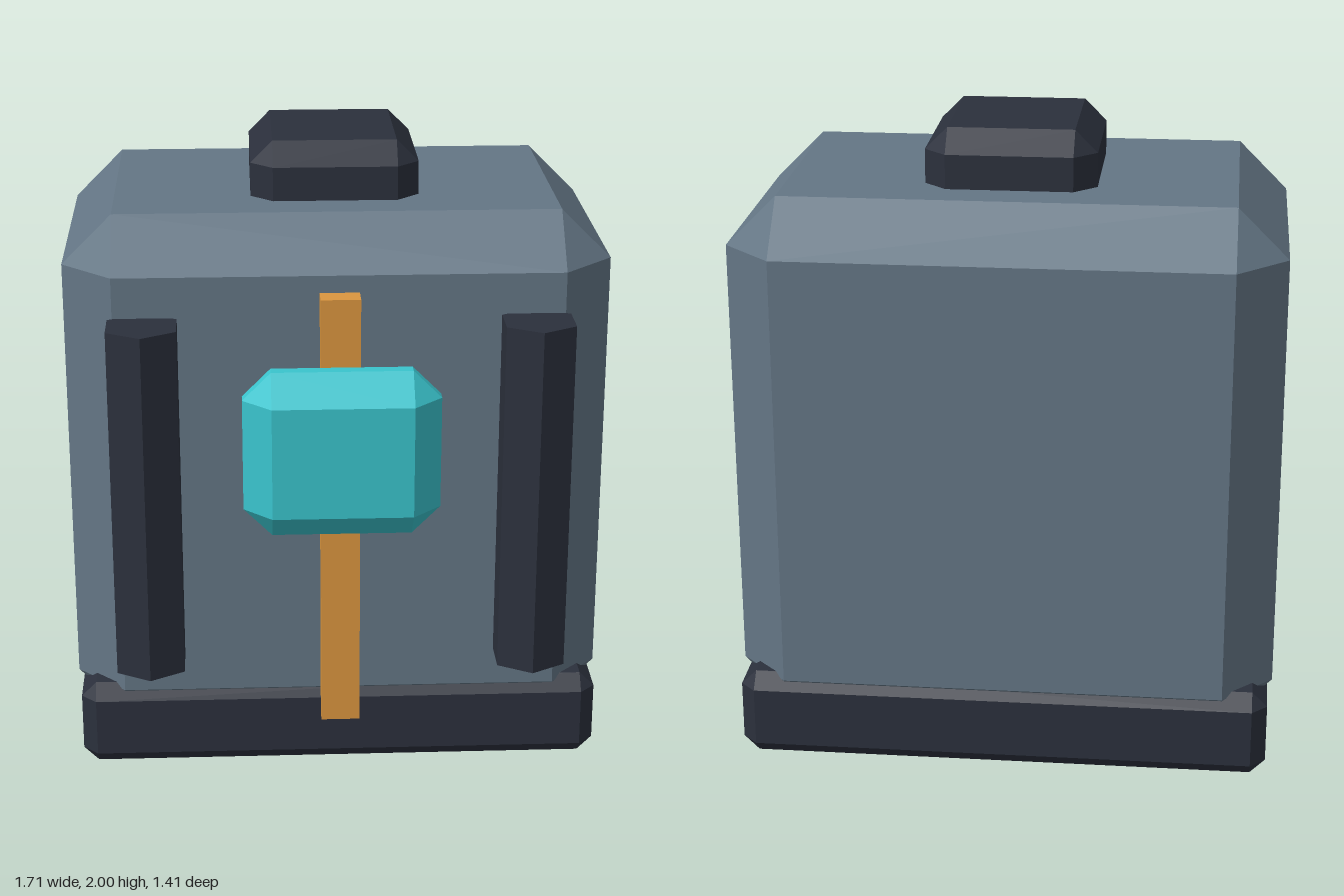
import * as THREE from 'three';
import { ConvexGeometry } from 'three/addons/geometries/ConvexGeometry.js';

const material = (color) => new THREE.MeshStandardMaterial({ color, flatShading: true });

// Box from min to max with every edge cut at 45 degrees by c
function chamferBox(min, max, c) {
  const points = [];
  const mid = min.map((v, i) => (v + max[i]) / 2);
  const half = min.map((v, i) => (max[i] - v) / 2);
  for (const sx of [-1, 1]) for (const sy of [-1, 1]) for (const sz of [-1, 1]) {
    const sign = [sx, sy, sz];
    // three points per corner, each lying on one of the main faces
    for (let face = 0; face < 3; face++) {
      const p = sign.map((s, i) => mid[i] + s * (half[i] - (i === face ? 0 : c)));
      points.push(new THREE.Vector3(...p));
    }
  }
  return new ConvexGeometry(points);
}

export function createModel() {
  const group = new THREE.Group();
  const slate = material(0x647685);
  const dark = material(0x2b303c);
  const teal = material(0x3ac4cd);
  const orange = material(0xdb963f);

  const add = (name, geometry, mat, x = 0, y = 0, z = 0) => {
    const mesh = new THREE.Mesh(geometry, mat);
    mesh.name = name;
    mesh.position.set(x, y, z);
    group.add(mesh);
  };

  // Main housing on its plinth, with a cap on top
  add('base', chamferBox([-0.84, 0, -0.705], [0.84, 0.285, 0.475], 0.048), dark);
  add('body', chamferBox([-0.855, 0.11, -0.687], [0.855, 1.823, 0.455], 0.158), slate);
  add('cap', chamferBox([-0.266, 1.68, -0.402], [0.266, 2, 0.167], 0.07), dark);

  // Front strap and the buckle floating over it
  add('strap', new THREE.BoxGeometry(0.123, 1.425, 0.123), orange, 0, 0.898, 0.467);
  add('buckle', chamferBox([-0.304, 0.88, 0.49], [0.304, 1.412, 0.705], 0.088), teal);

  // Hexagonal posts either side, one edge pointing forward
  for (const side of [-1, 1]) {
    add(side > 0 ? 'leftPost' : 'rightPost',
      new THREE.CylinderGeometry(0.123, 0.123, 1.137, 6), dark, side * 0.605, 0.968, 0.527);
  }
  return group;
}
